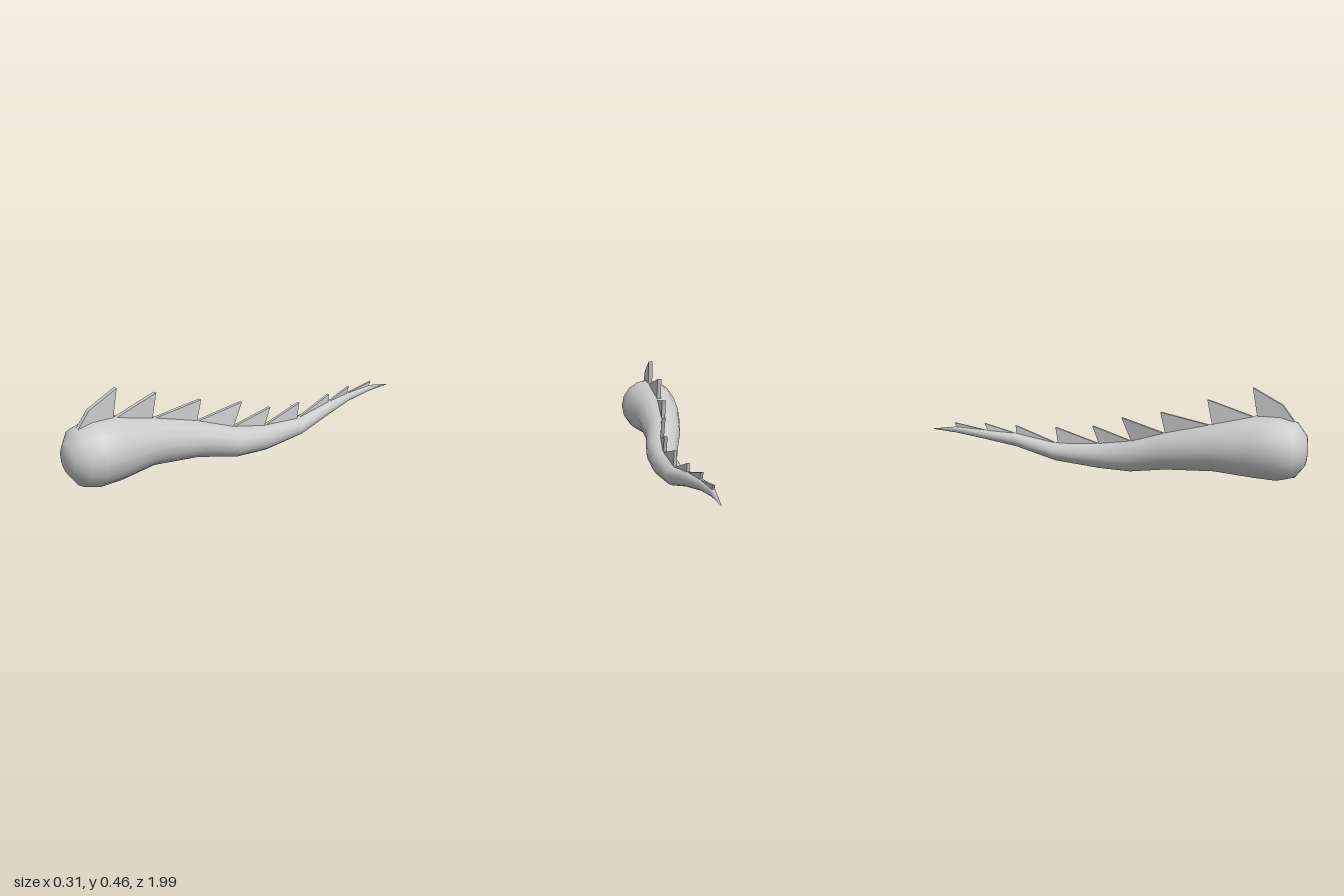
import * as THREE from 'three';
import { mergeVertices } from 'three/addons/utils/BufferGeometryUtils.js';

const SIDES = 16;

// Cross-sections from blunt root to tip: z, centre x, centre y, half width, half height
const RINGS = [
  [1.0, 0, 0.18, 0, 0],
  [0.99, 0, 0.18, 0.07, 0.07],
  [0.945, 0, 0.18, 0.132, 0.13],
  [0.87, 0, 0.18, 0.153, 0.15],
  [0.765, 0, 0.183, 0.15, 0.148],
  [0.575, -0.015, 0.17, 0.118, 0.116],
  [0.33, 0.003, 0.132, 0.093, 0.093],
  [0.135, 0.045, 0.084, 0.081, 0.079],
  [-0.04, 0.063, 0.07, 0.063, 0.065],
  [-0.275, 0.054, 0.075, 0.052, 0.046],
  [-0.495, 0.04, 0.125, 0.036, 0.035],
  [-0.67, 0.014, 0.147, 0.023, 0.024],
  [-0.83, 0.008, 0.163, 0.013, 0.017],
  [-0.99, 0.01, 0.158, 0, 0],
];

// Interpolated cross-section at a given z
function sectionAt(z) {
  let i = 0;
  while (i < RINGS.length - 2 && RINGS[i + 1][0] > z) i++;
  const a = RINGS[i], b = RINGS[i + 1];
  const t = THREE.MathUtils.clamp((a[0] - z) / (a[0] - b[0]), 0, 1);
  const [, x, y, w, h] = a.map((v, k) => v + (b[k] - v) * t);
  return { x, y, w, h, top: y + h };
}

// Smooth tapering body lofted through the rings
function bodyGeometry() {
  const pos = [], index = [];
  RINGS.forEach(([z, cx, cy, w, h], i) => {
    for (let j = 0; j < SIDES; j++) {
      const a = (j / SIDES) * Math.PI * 2;
      pos.push(cx + Math.cos(a) * w, cy + Math.sin(a) * h, z);
      if (i === RINGS.length - 1) continue;
      const p = i * SIDES + j, q = i * SIDES + ((j + 1) % SIDES);
      if (i < RINGS.length - 2) index.push(p + SIDES, q + SIDES, q);
      if (i > 0) index.push(p, p + SIDES, q);
    }
  });
  const geo = new THREE.BufferGeometry();
  geo.setAttribute('position', new THREE.Float32BufferAttribute(pos, 3));
  geo.setIndex(index);
  const merged = mergeVertices(geo);
  merged.computeVertexNormals();
  return merged;
}

// Back-swept plate: front foot z, back foot z, outline points above the body
function spikeGeometry(front, back, outline, thickness) {
  const f = sectionAt(front), b = sectionAt(back);
  const points = [
    [back, b.top - b.h * 0.25],
    [front, f.top - f.h * 0.1],
    ...outline,
  ].map(([z, y]) => new THREE.Vector2(z, y));
  const geo = new THREE.ExtrudeGeometry(new THREE.Shape(points), { depth: thickness, bevelEnabled: false });
  geo.translate(0, 0, -thickness / 2);
  geo.rotateY(-Math.PI / 2);
  // Shear sideways so the plate follows the curving spine
  const p = geo.attributes.position;
  for (let i = 0; i < p.count; i++) {
    p.setX(i, p.getX(i) + sectionAt(Math.max(p.getZ(i), back)).x);
  }
  geo.computeVertexNormals();
  return geo;
}

// Front foot z, back foot z, outline [z, y]
const SPIKES = [
  [0.95, 0.77, [[0.88, 0.385], [0.74, 0.46]]],
  [0.77, 0.56, [[0.53, 0.395]]],
  [0.56, 0.325, [[0.295, 0.32]]],
  [0.325, 0.14, [[0.083, 0.275]]],
  [0.14, -0.04, [[-0.08, 0.22]]],
  [-0.04, -0.265, [[-0.28, 0.202]]],
  [-0.27, -0.495, [[-0.5, 0.2]]],
  [-0.495, -0.65, [[-0.67, 0.205]]],
  [-0.65, -0.83, [[-0.845, 0.2]]],
];

export function createModel() {
  const group = new THREE.Group();
  group.name = 'spikedTail';
  const material = new THREE.MeshStandardMaterial({ color: 0xcccccc });

  const body = new THREE.Mesh(bodyGeometry(), material);
  body.name = 'tailBody';
  group.add(body);

  // Row of spikes, thinner toward the tip
  const spikes = new THREE.Group();
  spikes.name = 'spikes';
  SPIKES.forEach(([front, back, outline], i) => {
    const spike = new THREE.Mesh(spikeGeometry(front, back, outline, 0.023 - i * 0.0015), material);
    spike.name = `spike${i + 1}`;
    spikes.add(spike);
  });
  group.add(spikes);
  return group;
}
